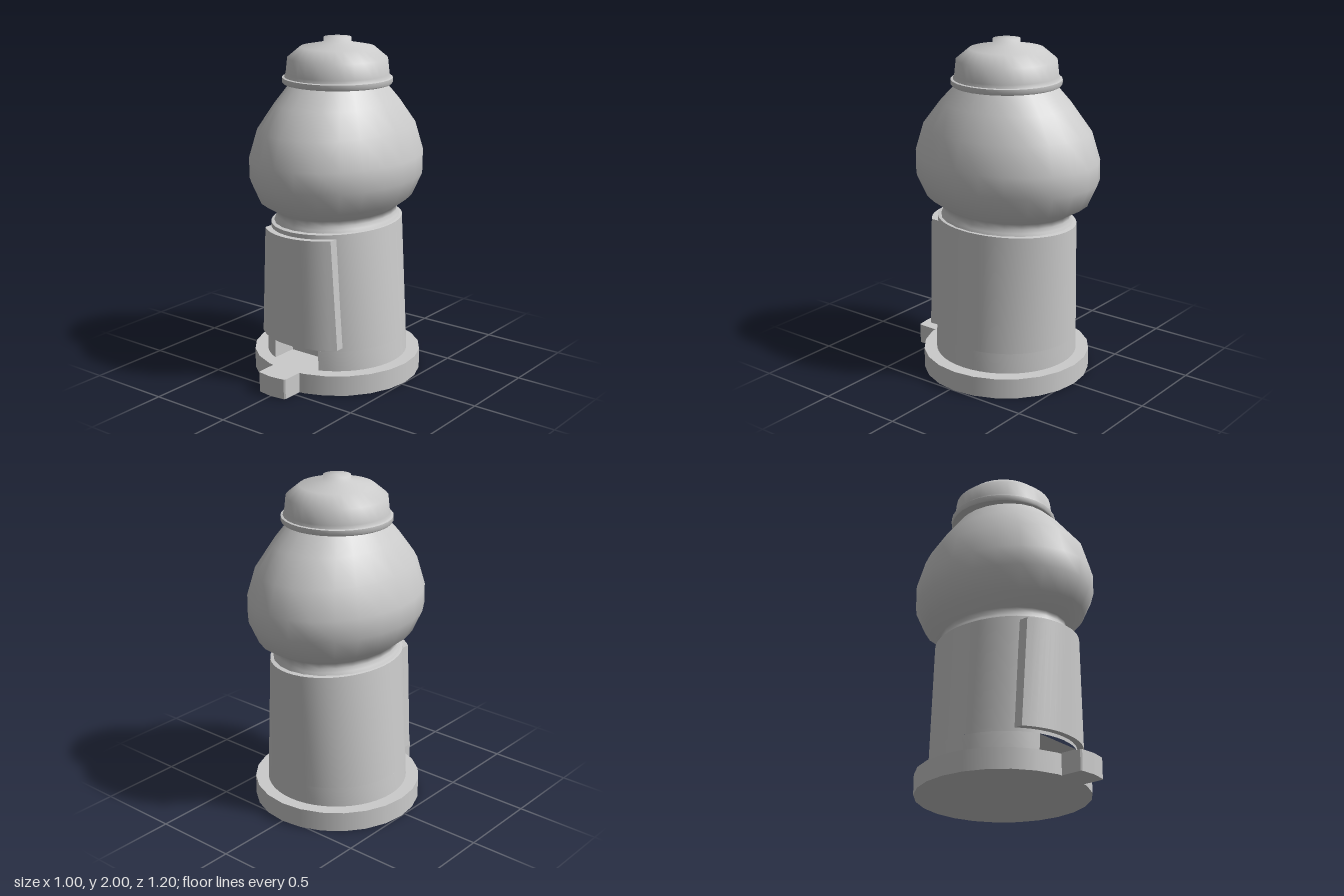
import * as THREE from 'three';
import { mergeVertices, toCreasedNormals } from 'three/addons/utils/BufferGeometryUtils.js';

const material = new THREE.MeshStandardMaterial({ color: 0xcccccc });
const openMaterial = new THREE.MeshStandardMaterial({ color: 0xcccccc, side: THREE.DoubleSide });

// Lathe with an elliptical section: rows are [radius x, radius z, y], bottom to top
function loft(rows, sides, crease = 0, start = 0, length = Math.PI * 2) {
  const lathe = new THREE.LatheGeometry(rows.map(([rx, , y]) => new THREE.Vector2(rx, y)), sides, start, length);
  const p = lathe.attributes.position;
  for (let i = 0; i < p.count; i++) {
    const [rx, rz] = rows[i % rows.length];
    if (rx > 0) p.setZ(i, p.getZ(i) * rz / rx);
  }
  lathe.deleteAttribute('uv');
  lathe.deleteAttribute('normal');
  const geo = mergeVertices(lathe, 1e-4);
  geo.computeVertexNormals();
  return crease ? toCreasedNormals(geo, crease) : geo;
}

// Pedestal section at height y: round at the foot, oval at the top
function pedestalRow(y) {
  const t = (y - 0.12) / 0.815;
  return [0.42 - 0.065 * t, 0.425 + 0.012 * t, y];
}

export function createModel() {
  const model = new THREE.Group();
  model.name = 'dispenser';
  const core = new THREE.Group();
  core.name = 'core';
  core.position.z = -0.03;
  model.add(core);

  const add = (name, geometry, mat = material, parent = core) => {
    const mesh = new THREE.Mesh(geometry, mat);
    mesh.name = name;
    parent.add(mesh);
    return mesh;
  };

  // Base disc with a tongue at the front
  add('base', new THREE.CylinderGeometry(0.5, 0.5, 0.12, 24)).position.y = 0.06;
  const tongue = new THREE.Shape([
    [-0.098, 0.4], [0.098, 0.4], [0.098, 0.58], [0.09, 0.588], [0, 0.6], [-0.09, 0.588], [-0.098, 0.58],
  ].map(([x, z]) => new THREE.Vector2(x, -z)));
  add('tongue', new THREE.ExtrudeGeometry(tongue, { depth: 0.12, bevelEnabled: false })
    .rotateX(-Math.PI / 2), material, model);

  // Pedestal: lower band is open at the front slot, upper band is closed
  const slotTop = 0.24, slotHalf = 0.163;
  const slotAngle = Math.asin(slotHalf / 0.417);
  add('pedestalFoot', loft([pedestalRow(0.12), pedestalRow(slotTop)], 42, 0,
    slotAngle, Math.PI * 2 - 2 * slotAngle));
  add('pedestal', loft([pedestalRow(slotTop), pedestalRow(0.935),
    [0.335, 0.41, 0.94], [0, 0, 0.94]], 48, 0.6));

  // Recess behind the slot
  const depth = 0.16, mouth = 0.39, midY = (0.12 + slotTop) / 2, height = slotTop - 0.12;
  const recess = new THREE.Group();
  recess.name = 'slotRecess';
  core.add(recess);
  add('slotBack', new THREE.PlaneGeometry(slotHalf * 2, height), openMaterial, recess)
    .position.set(0, midY, mouth - depth);
  for (const side of [-1, 1]) {
    const wall = add('slotSide', new THREE.PlaneGeometry(depth, height), openMaterial, recess);
    wall.rotation.y = -side * Math.PI / 2;
    wall.position.set(side * slotHalf, midY, mouth - depth / 2);
  }
  const ceiling = add('slotCeiling', new THREE.PlaneGeometry(slotHalf * 2, depth), openMaterial, recess);
  ceiling.rotation.x = Math.PI / 2;
  ceiling.position.set(0, slotTop, mouth - depth / 2);

  // Front panel: a box wrapped around the pedestal
  const panel = new THREE.BoxGeometry(2, 1, 1, 16, 1, 1);
  const p = panel.attributes.position;
  for (let i = 0; i < p.count; i++) {
    const v = p.getY(i) + 0.5;
    const y = 0.26 + 0.65 * v;
    const [rx, rz] = pedestalRow(y);
    const offset = p.getZ(i) > 0 ? 0.037 : -0.004;
    const x = p.getX(i) * (0.278 - 0.038 * v);
    p.setXYZ(i, x, y, (rz + offset) * Math.sqrt(1 - (x / (rx + offset)) ** 2));
  }
  panel.computeVertexNormals();
  add('frontPanel', panel);

  // Oval globe with its neck
  add('globe', loft([
    [0.345, 0.415, 0.935], [0.337, 0.408, 0.955], [0.326, 0.402, 0.975], [0.326, 0.402, 1.005],
    [0.41, 0.515, 1.07], [0.467, 0.573, 1.2], [0.467, 0.573, 1.32],
    [0.42, 0.522, 1.485], [0.335, 0.405, 1.63], [0.262, 0.3, 1.735], [0.24, 0.27, 1.76],
  ], 24));

  // Round lid: rim, domed cap and knob
  const round = (rows) => rows.map(([r, y]) => [r, r, y]);
  add('lidRim', loft(round([[0, 1.735], [0.315, 1.735], [0.32, 1.742], [0.32, 1.768], [0.305, 1.772]]), 32, 0.9));
  add('lid', loft(round([
    [0.308, 1.77], [0.3, 1.79], [0.29, 1.88], [0.215, 1.942], [0.08, 1.968],
    [0.079, 1.998], [0, 2],
  ]), 32));

  return model;
}
